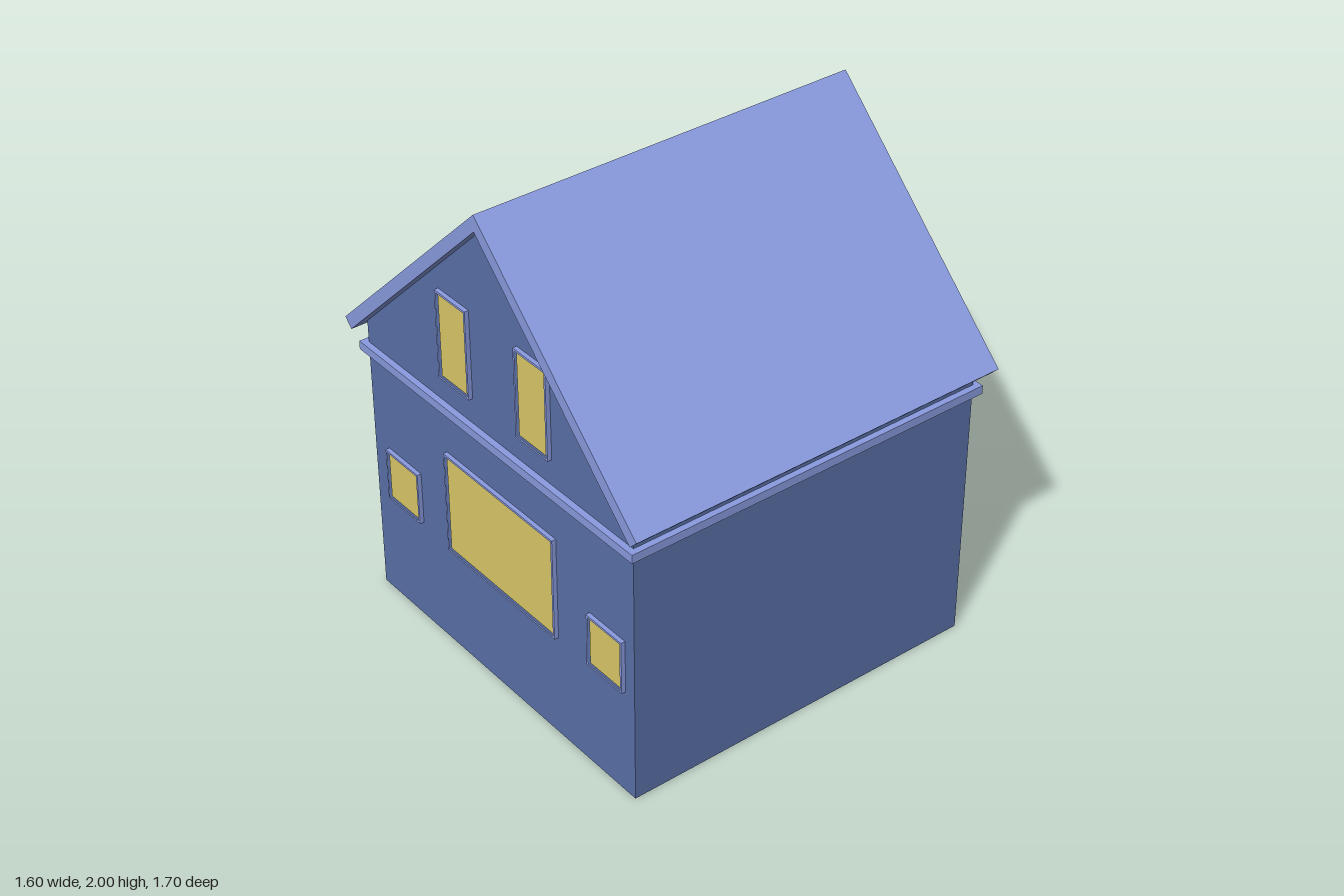
import * as THREE from 'three';

const mat = (color) => new THREE.MeshStandardMaterial({ color, flatShading: true });

export function createModel() {
  const house = new THREE.Group();
  const wallMat = mat(0x5a70a8), trimMat = mat(0x8a9be0);
  const glassMat = mat(0xdcc868), doorMat = mat(0x6e5642);

  const add = (parent, name, geometry, material) => {
    const mesh = new THREE.Mesh(geometry, material);
    mesh.name = name;
    parent.add(mesh);
    return mesh;
  };

  // Extrude a (z, y) outline along x, centred on x = 0
  const extrudeAcross = (points, width) => {
    const shape = new THREE.Shape(points.map(([z, y]) => new THREE.Vector2(-z, y)));
    const g = new THREE.ExtrudeGeometry(shape, { depth: width, bevelEnabled: false });
    return g.translate(0, 0, -width / 2).rotateY(Math.PI / 2);
  };

  // Body with gable ends
  add(house, 'walls', extrudeAcross(
    [[0.775, 0], [0.775, 1.18], [0, 1.935], [-0.775, 1.18], [-0.775, 0]], 1.51), wallMat);

  // Pitched roof with square-cut eaves
  add(house, 'roof', extrudeAcross(
    [[0.85, 1.178], [0, 2], [-0.85, 1.178], [-0.815, 1.142], [0, 1.935], [0.815, 1.142]], 1.6), trimMat);

  // Band running round the house at ceiling height
  add(house, 'trimBand', new THREE.BoxGeometry(1.56, 0.035, 1.6).translate(0, 1.073, 0), trimMat);

  // Panel with an opening, standing out from a gable wall; side is +1 or -1 in x
  const rect = (Type, z0, z1, y0, y1) => new Type([
    new THREE.Vector2(-z0, y0), new THREE.Vector2(-z1, y0),
    new THREE.Vector2(-z1, y1), new THREE.Vector2(-z0, y1)]);
  const framed = (side, outer, inner, depth) => {
    const shape = rect(THREE.Shape, ...outer);
    shape.holes.push(rect(THREE.Path, ...inner));
    const g = new THREE.ExtrudeGeometry(shape, { depth: depth + 0.01, bevelEnabled: false });
    return g.rotateY(Math.PI / 2).translate(side > 0 ? 0.745 : -0.755 - depth, 0, 0);
  };
  const pane = (side, [z0, z1, y0, y1], depth) =>
    new THREE.BoxGeometry(depth, y1 - y0, Math.abs(z1 - z0))
      .translate(side * (0.755 + depth / 2), (y0 + y1) / 2, (z0 + z1) / 2);

  const addWindow = (name, side, z0, z1, y0, y1) => {
    const g = new THREE.Group();
    g.name = name;
    const b = 0.009, inner = [z0 + b, z1 - b, y0 + b, y1 - b];
    add(g, 'frame', framed(side, [z0, z1, y0, y1], inner, 0.017), trimMat);
    add(g, 'glass', pane(side, inner, 0.008), glassMat);
    house.add(g);
  };

  // Door side
  addWindow('gableWindow', 1, -0.3, 0.3, 1.195, 1.55);
  addWindow('groundWindowOuter', 1, 0.295, 0.632, 0.355, 0.76);
  addWindow('groundWindowInner', 1, -0.055, 0.258, 0.355, 0.76);

  // Opposite side
  addWindow('narrowWindowBack', -1, -0.3, -0.12, 1.195, 1.555);
  addWindow('narrowWindowFront', -1, 0.155, 0.335, 1.195, 1.555);
  addWindow('wideWindow', -1, -0.3, 0.345, 0.44, 0.87);
  addWindow('smallWindowBack', -1, -0.685, -0.48, 0.45, 0.67);
  addWindow('smallWindowFront', -1, 0.53, 0.725, 0.45, 0.67);

  // Door with its own light and knob
  const door = new THREE.Group();
  door.name = 'door';
  const light = [-0.42, -0.145, 0.365, 0.565];
  add(door, 'doorPanel', framed(1, [-0.467, -0.1, 0, 0.652], light, 0.02), doorMat);
  add(door, 'doorGlass', pane(1, light, 0.01), glassMat);
  add(door, 'doorKnob', new THREE.CylinderGeometry(0.025, 0.025, 0.016, 20)
    .rotateZ(Math.PI / 2).translate(0.774, 0.3, -0.405), doorMat);
  house.add(door);

  return house;
}
